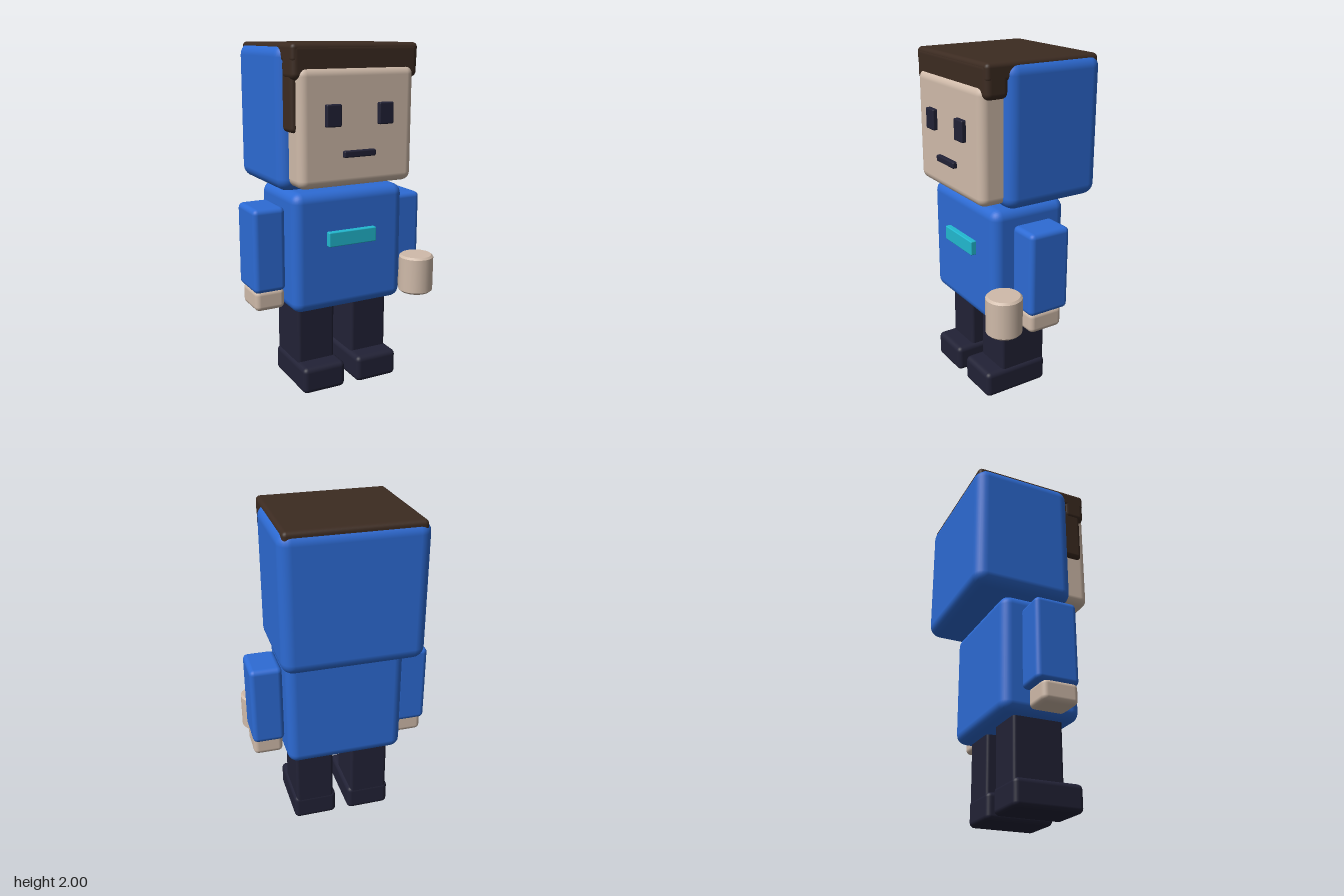
import * as THREE from 'three';
import { RoundedBoxGeometry } from 'three/addons/geometries/RoundedBoxGeometry.js';

export function createModel() {
  const model = new THREE.Group();
  const mat = (name, color) => {
    const m = new THREE.MeshStandardMaterial({ color });
    m.name = name;
    return m;
  };
  const blue = mat('blue cloth', 0x2d6bd4);
  const skin = mat('skin', 0xd0bbaa);
  const brown = mat('hair brown', 0x3c2b21);
  const dark = mat('dark navy', 0x222236);
  const cyan = mat('cyan', 0x22b9d0);

  // Rounded box given by its [min, max] span along each axis
  const box = (name, material, [x0, x1], [y0, y1], [z0, z1], radius) => {
    const geometry = new RoundedBoxGeometry(x1 - x0, y1 - y0, z1 - z0, 3, radius);
    const mesh = new THREE.Mesh(geometry, material);
    mesh.name = name;
    mesh.position.set((x0 + x1) / 2, (y0 + y1) / 2, (z0 + z1) / 2);
    model.add(mesh);
    return mesh;
  };
  const cx = -0.007; // middle of the body
  const span = (c, half) => [c - half, c + half];

  // Head inside a boxy hood
  box('hood', blue, span(cx, 0.41), [1.2, 1.996], [-0.386, 0.222], 0.07);
  box('face', skin, span(cx, 0.355), [1.23, 1.88], [-0.2, 0.358], 0.05);

  // Hair: flat top, fringe and one long side lock
  box('hairTop', brown, span(cx, 0.386), [1.9, 2.0], [-0.372, 0.338], 0.025);
  box('fringe', brown, span(cx, 0.386), [1.81, 2.0], [0.198, 0.34], 0.035);
  box('sideLock', brown, [-0.388, -0.33], [1.535, 1.92], [0.17, 0.312], 0.025);

  // Torso and badge
  box('torso', blue, span(cx, 0.354), [0.493, 1.195], [-0.202, 0.276], 0.06);
  box('badge', cyan, span(cx, 0.152), [0.88, 0.965], [0.26, 0.308], 0.006);

  // Mirrored pairs
  for (const side of [-1, 1]) {
    const label = side > 0 ? 'left' : 'right';
    const arm = cx + side * 0.45;
    const leg = cx + side * 0.177;
    box(label + 'Arm', blue, span(arm, 0.096), [0.613, 1.105], [-0.094, 0.162], 0.03);
    box(label + 'Hand', skin, span(arm, 0.09), [0.505, 0.63], [-0.056, 0.156], 0.03);
    box(label + 'Leg', dark, span(leg, 0.119), [0.08, 0.53], [-0.113, 0.188], 0.02);
    box(label + 'Boot', dark, span(cx + side * 0.175, 0.135), [0, 0.16], [-0.115, 0.299], 0.03);
    box(label + 'Eye', dark, span(cx + side * 0.161, 0.045), [1.565, 1.685], [0.335, 0.384], 0.008);
  }
  box('mouth', dark, span(cx, 0.098), [1.395, 1.432], [0.335, 0.382], 0.008);

  // Cup held in front of the left hand, with softened rims
  const r = 0.104, h = 0.23, b = 0.012;
  const profile = [[0, 0], [r - b, 0], [r - b, 0], [r, b], [r, b], [r, h - b], [r, h - b], [r - b, h], [r - b, h], [0, h]]
    .map(([x, y]) => new THREE.Vector2(x, y));
  const cup = new THREE.Mesh(new THREE.LatheGeometry(profile, 20), skin);
  cup.name = 'cup';
  cup.position.set(0.446, 0.52, 0.278);
  model.add(cup);

  return model;
}
